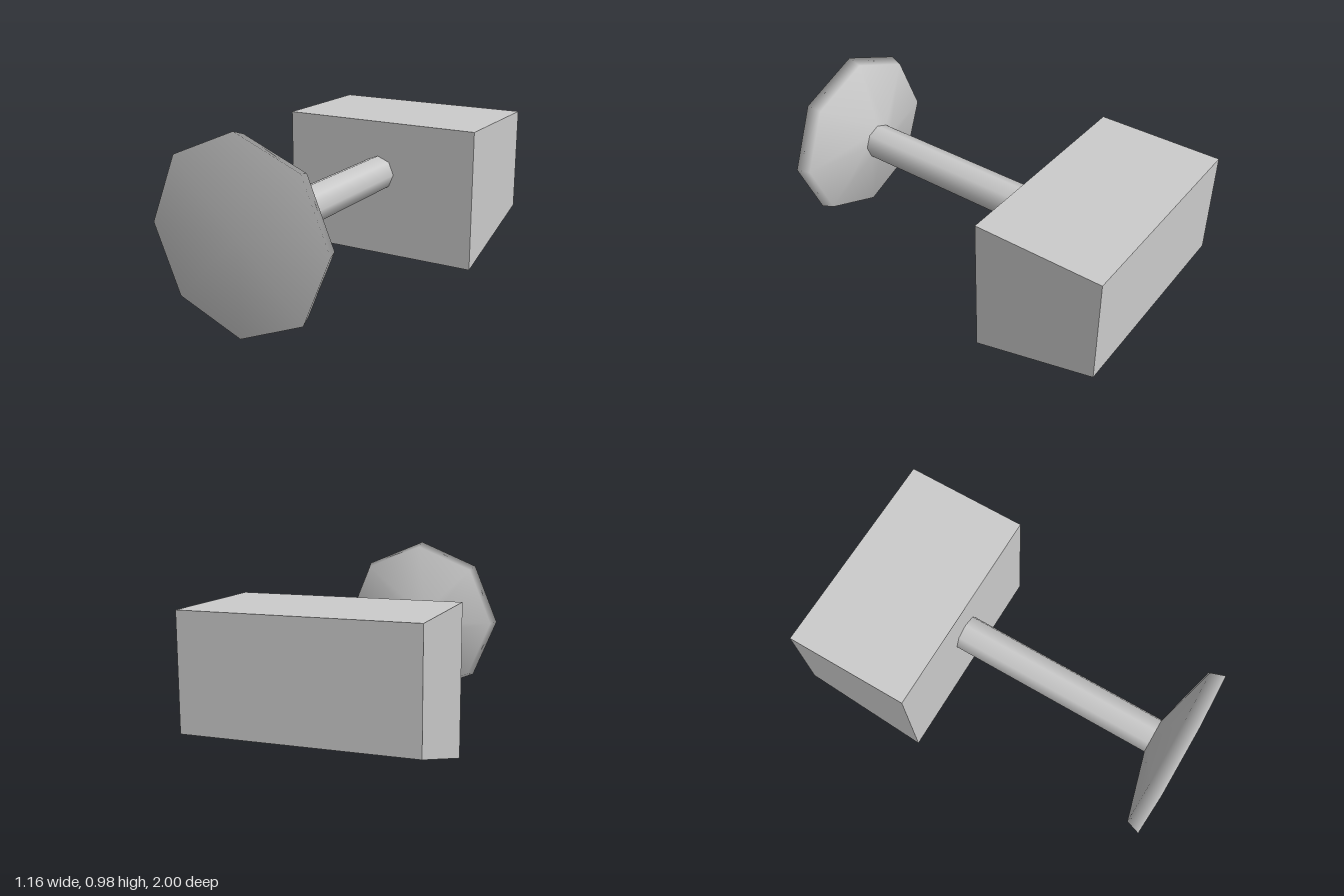
import * as THREE from 'three';

export function createModel() {
  const group = new THREE.Group();
  const material = new THREE.MeshStandardMaterial({ color: 0xcccccc });
  const axisY = 0.49;
  const sides = 8;

  const add = (name, geometry) => {
    const mesh = new THREE.Mesh(geometry, material);
    mesh.name = name;
    group.add(mesh);
    return mesh;
  };

  // Octagonal flared head with a flat front face, turned to face +z
  const profile = [[0.1, 0.83], [0.465, 0.925], [0.49, 1], [0, 1]]
    .map(([r, z]) => new THREE.Vector2(r, z));
  const head = add('head', new THREE.LatheGeometry(profile, sides).rotateX(Math.PI / 2));
  head.position.y = axisY;

  // Stem running from the block to the head
  const back = -0.32, front = 0.83;
  const stem = add('stem', new THREE.CylinderGeometry(0.1, 0.1, front - back, sides, 1, true)
    .rotateX(Math.PI / 2));
  stem.position.set(0, axisY, (front + back) / 2);

  // Block with a sloping underside: side outline in (z, y), extruded across x
  const halfWidth = 0.58;
  const outline = new THREE.Shape(
    [[-1, 0.21], [-0.32, 0.01], [-0.32, 0.79], [-1, 0.79]].map(([z, y]) => new THREE.Vector2(z, y))
  );
  add('block', new THREE.ExtrudeGeometry(outline, { depth: halfWidth * 2, bevelEnabled: false })
    .rotateY(-Math.PI / 2)
    .translate(halfWidth, 0, 0));

  return group;
}
